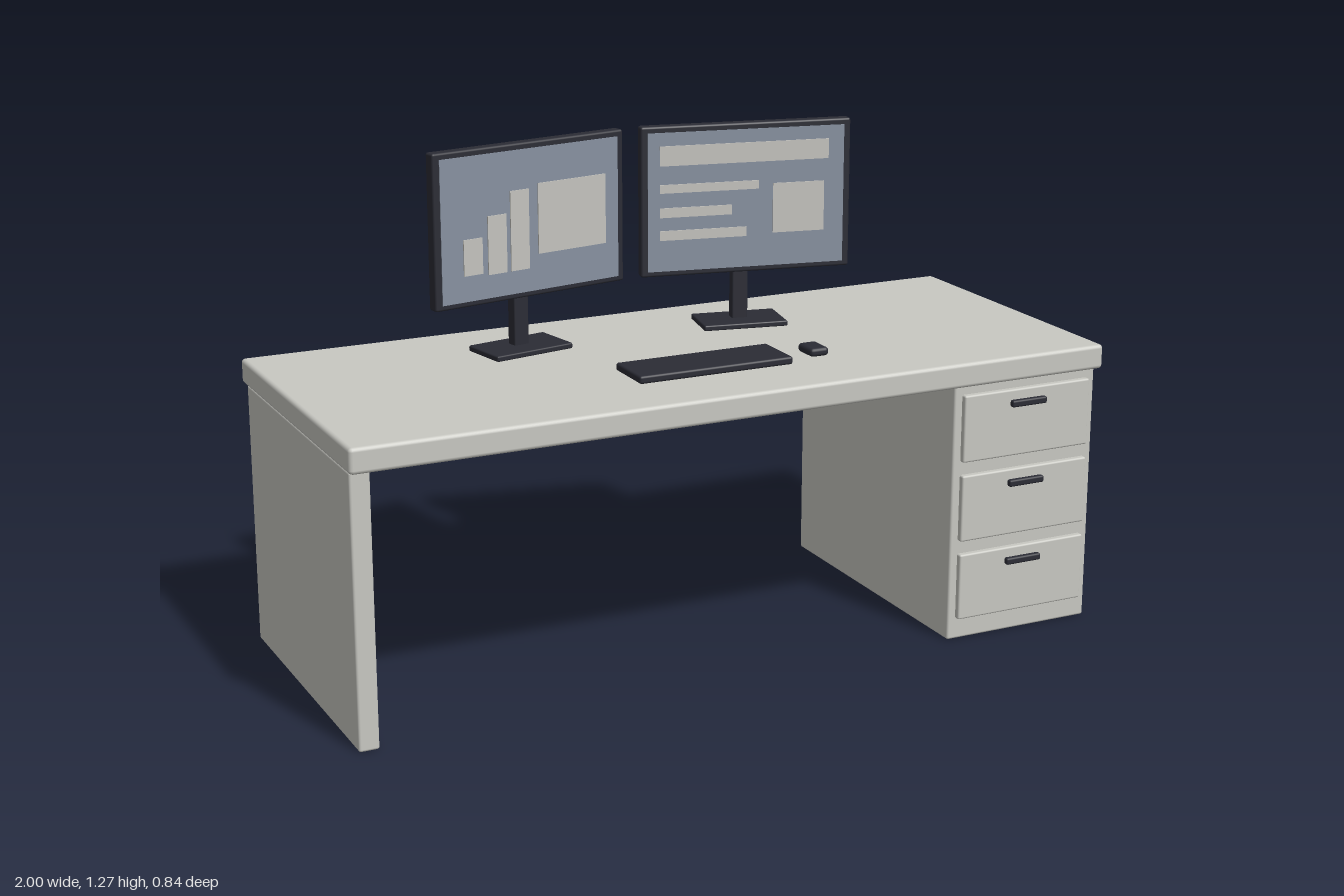
import * as THREE from 'three';
import { RoundedBoxGeometry } from 'three/addons/geometries/RoundedBoxGeometry.js';

const material = (name, color) => {
  const m = new THREE.MeshStandardMaterial({ color });
  m.name = name;
  return m;
};

export function createModel() {
  const model = new THREE.Group();
  model.name = 'officeDesk';
  const grey = material('pale grey', 0xc8c8c2);
  const dark = material('charcoal', 0x2b2c35);
  const glass = material('screen blue grey', 0x8791a0);
  const content = material('screen content grey', 0xc4c3be);

  // Box given by its extents on each axis, rounded when r > 0
  function box(parent, name, mat, [x0, x1], [y0, y1], [z0, z1], r = 0) {
    const size = [x1 - x0, y1 - y0, z1 - z0];
    const geo = r ? new RoundedBoxGeometry(...size, 2, r) : new THREE.BoxGeometry(...size);
    const mesh = new THREE.Mesh(geo, mat);
    mesh.name = name;
    mesh.position.set((x0 + x1) / 2, (y0 + y1) / 2, (z0 + z1) / 2);
    parent.add(mesh);
    return mesh;
  }

  // Desk
  box(model, 'desktop', grey, [-1, 1], [0.672, 0.735], [-0.418, 0.412], 0.01);
  box(model, 'sidePanel', grey, [-0.995, -0.945], [0, 0.673], [-0.39, 0.39], 0.006);
  box(model, 'drawerCabinet', grey, [0.575, 0.99], [0, 0.673], [-0.39, 0.39], 0.006);

  // Drawers with handles
  for (let i = 0; i < 3; i++) {
    const y = 0.056 + i * 0.209;
    const drawer = new THREE.Group();
    drawer.name = 'drawer' + (i + 1);
    box(drawer, 'drawerFront', grey, [0.597, 0.967], [y, y + 0.174], [0.38, 0.405], 0.005);
    box(drawer, 'drawerHandle', dark, [0.73, 0.832], [y + 0.13, y + 0.148], [0.402, 0.418], 0.005);
    model.add(drawer);
  }

  // Monitors, turned towards the seat; screen items are [x0, x1, y0, y1]
  function monitor(name, x, turn, items) {
    const g = new THREE.Group();
    g.name = name;
    g.position.set(x, 0, -0.15);
    g.rotation.y = turn;
    box(g, 'monitorBase', dark, [-0.112, 0.112], [0.734, 0.749], [-0.108, 0.027], 0.004);
    box(g, 'monitorNeck', dark, [-0.021, 0.021], [0.745, 0.9], [-0.066, -0.034], 0.004);
    box(g, 'monitorFrame', dark, [-0.278, 0.278], [0.884, 1.272], [-0.0165, 0.0165], 0.006);
    box(g, 'screen', glass, [-0.26, 0.26], [0.898, 1.256], [0.0145, 0.0185]);
    for (const [x0, x1, y0, y1] of items)
      box(g, 'screenItem', content, [x0, x1], [y0, y1], [0.0175, 0.0215]);
    model.add(g);
  }
  monitor('rightMonitor', -0.336, 0.19, [
    [-0.199, -0.145, 0.963, 1.053],
    [-0.129, -0.075, 0.957, 1.103],
    [-0.063, -0.009, 0.957, 1.157],
    [0.018, 0.22, 0.99, 1.167],
  ]);
  monitor('leftMonitor', 0.265, -0.19, [
    [-0.229, 0.218, 1.171, 1.222],
    [-0.229, 0.032, 1.101, 1.123],
    [-0.229, -0.039, 1.038, 1.063],
    [-0.229, 0, 0.979, 1.004],
    [0.07, 0.207, 0.984, 1.113],
  ]);

  // Input devices
  box(model, 'keyboard', dark, [-0.21, 0.205], [0.735, 0.755], [0.09, 0.232], 0.006);
  box(model, 'mouse', dark, [0.273, 0.324], [0.735, 0.757], [0.127, 0.2], 0.009);

  return model;
}
